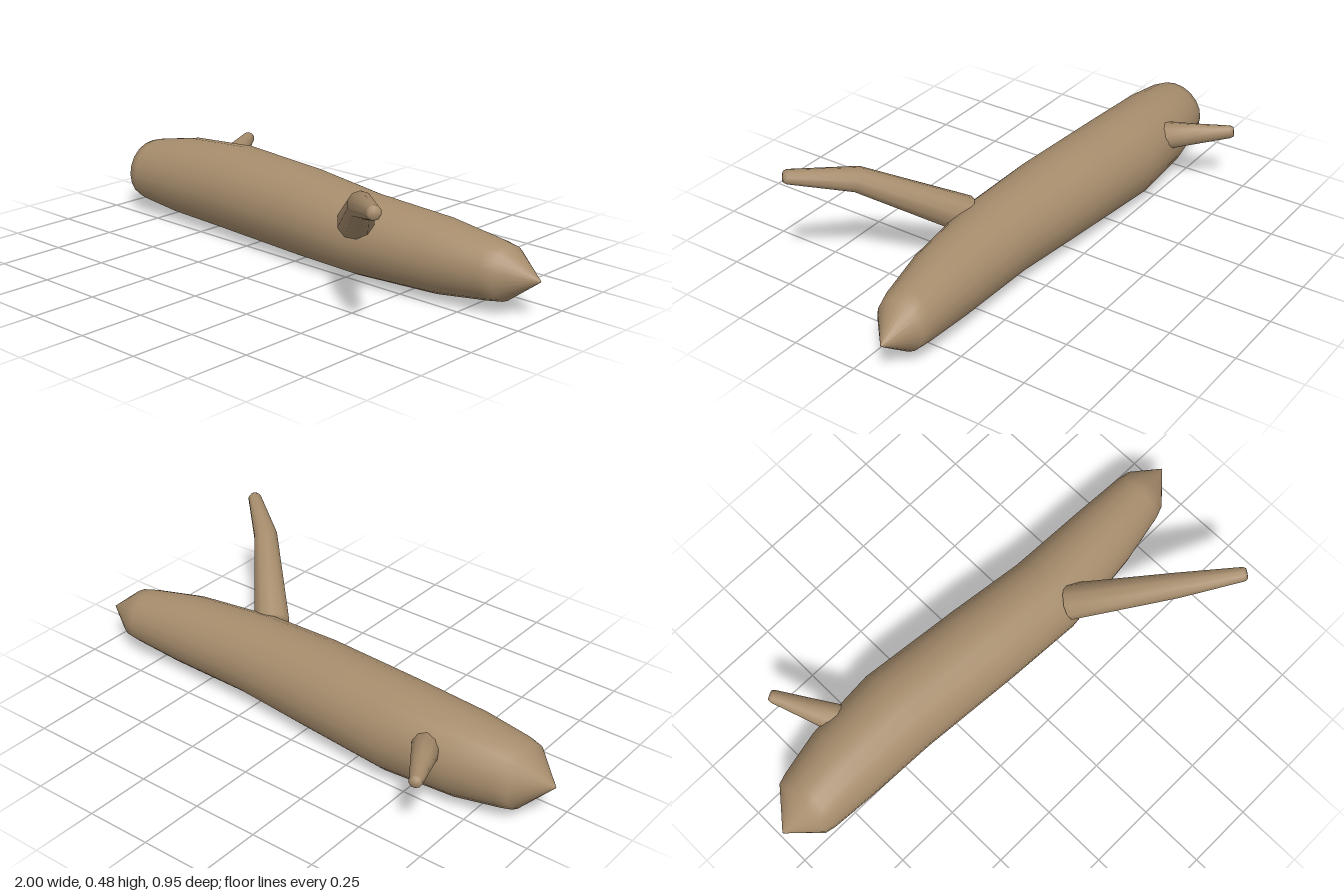
import * as THREE from 'three';

// Skin a run of rings { c: centre, d: axis, h: half height, w: half width }
function loft(rings, sides) {
  const pos = [], index = [];
  for (const { c, d, h, w } of rings) {
    const u = new THREE.Vector3(0, 1, 0).addScaledVector(d, -d.y).normalize();
    const v = new THREE.Vector3().crossVectors(d, u);
    for (let j = 0; j < sides; j++) {
      const a = (j / sides) * Math.PI * 2;
      const p = c.clone().addScaledVector(u, Math.cos(a) * h).addScaledVector(v, Math.sin(a) * w);
      pos.push(p.x, p.y, p.z);
    }
  }
  for (let i = 0; i < rings.length - 1; i++) {
    for (let j = 0; j < sides; j++) {
      const a = i * sides + j, b = i * sides + ((j + 1) % sides);
      index.push(a, b, a + sides, b, b + sides, a + sides);
    }
  }
  const geo = new THREE.BufferGeometry();
  geo.setAttribute('position', new THREE.Float32BufferAttribute(pos, 3));
  geo.setIndex(index);
  geo.computeVertexNormals();
  return geo;
}

// Tapered limb along points [x, y, z, radius], closed at both ends
function branch(points) {
  const at = points.map(([x, y, z]) => new THREE.Vector3(x, y, z));
  const last = at.length - 1;
  const rings = at.map((c, i) => {
    const d = at[Math.min(i + 1, last)].clone().sub(at[Math.max(i - 1, 0)]).normalize();
    return { c, d, h: points[i][3], w: points[i][3] };
  });
  const cap = (r, push) => ({ c: r.c.clone().addScaledVector(r.d, push), d: r.d, h: 0.0005, w: 0.0005 });
  const end = rings[last];
  const lip = { c: end.c.clone().addScaledVector(end.d, 0.012), d: end.d, h: end.h * 0.75, w: end.w * 0.75 };
  return loft([cap(rings[0], 0), ...rings, lip, cap(end, 0.014)], 10);
}

export function createModel() {
  const group = new THREE.Group();
  const bark = new THREE.MeshStandardMaterial({ color: 0xa68c6c });
  bark.name = 'bark';
  const add = (name, geo) => {
    const mesh = new THREE.Mesh(geo, bark);
    mesh.name = name;
    group.add(mesh);
  };

  // Trunk sections: x, bottom, top, back, front
  const sections = [
    [-1, 0.154, 0.156, -0.091, -0.089],
    [-0.89, 0.042, 0.275, -0.225, 0.015],
    [-0.85, 0.034, 0.288, -0.238, 0.024],
    [-0.68, 0.012, 0.32, -0.275, 0.035],
    [-0.4, 0.002, 0.338, -0.295, 0.045],
    [0, 0.004, 0.33, -0.255, 0.075],
    [0.3, 0.01, 0.307, -0.222, 0.09],
    [0.63, 0.018, 0.287, -0.212, 0.05],
    [0.83, 0.04, 0.253, -0.205, 0.008],
    [0.88, 0.047, 0.242, -0.198, -0.01],
    [1, 0.139, 0.141, -0.121, -0.119],
  ];
  const axis = new THREE.Vector3(1, 0, 0);
  add('trunk', loft(sections.map(([x, y0, y1, z0, z1]) => ({
    c: new THREE.Vector3(x, (y0 + y1) / 2, (z0 + z1) / 2),
    d: axis, h: (y1 - y0) / 2, w: (z1 - z0) / 2,
  })), 20));

  // Long bent branch and short straight stub
  add('longBranch', branch([
    [0.325, 0.235, 0.035, 0.068], [0.58, 0.412, 0.305, 0.046], [0.763, 0.46, 0.455, 0.026],
  ]));
  add('shortBranch', branch([
    [-0.575, 0.22, -0.225, 0.056], [-0.636, 0.237, -0.345, 0.039], [-0.694, 0.254, -0.458, 0.024],
  ]));
  return group;
}
